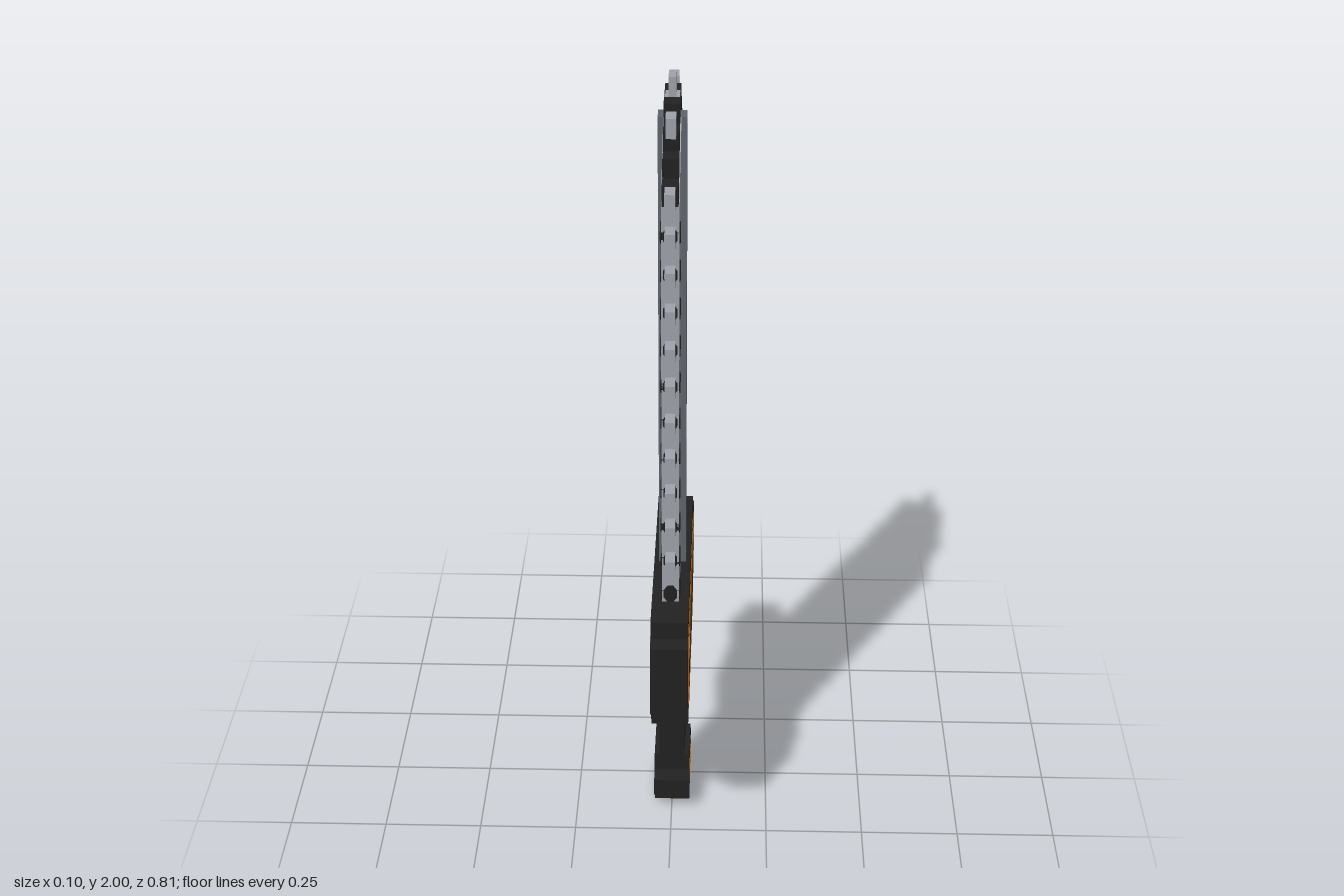
import * as THREE from 'three';

const U = 1 / 21; // one grid cell

const mat = (name, color) => {
  const m = new THREE.MeshStandardMaterial({ color });
  m.name = name;
  return m;
};

export function createModel() {
  const model = new THREE.Group();
  model.name = 'sawSword';
  const black = mat('black', 0x222222);
  const steel = mat('light steel', 0xa0a3ab);
  const darkSteel = mat('dark steel', 0x60656d);
  const orange = mat('orange', 0xc06b10);
  const darkOrange = mat('dark orange', 0x9c4e12);
  const gold = mat('gold', 0xc4953c);

  const group = (name) => {
    const g = new THREE.Group();
    g.name = name;
    model.add(g);
    return g;
  };
  const add = (parent, name, geometry, material) => {
    const m = new THREE.Mesh(geometry, material);
    m.name = name;
    parent.add(m);
    return m;
  };
  // Box between grid positions z0..z1 and y0..y1, with half width hx in units
  const box = (parent, name, material, z0, z1, y0, y1, hx) => {
    const m = add(parent, name, new THREE.BoxGeometry(hx * 2, (y1 - y0) * U, (z1 - z0) * U), material);
    m.position.set(0, ((y0 + y1) / 2) * U, ((z0 + z1) / 2) * U);
    return m;
  };
  // Side outline of [z, y] grid points, extruded across x
  const slab = (parent, name, material, points, hx) => {
    const shape = new THREE.Shape(points.map(([z, y]) => new THREE.Vector2(z * U, y * U)));
    const g = new THREE.ExtrudeGeometry(shape, { depth: hx * 2, bevelEnabled: false });
    g.translate(0, 0, -hx).rotateY(-Math.PI / 2);
    return add(parent, name, g, material);
  };
  // Rectangle with cut corners
  const cutBox = (parent, name, material, z0, z1, y0, y1, hx, c = 0.3) =>
    slab(parent, name, material, [
      [z0 + c, y0], [z1 - c, y0], [z1, y0 + c], [z1, y1 - c],
      [z1 - c, y1], [z0 + c, y1], [z0, y1 - c], [z0, y0 + c],
    ], hx);

  // Blade: light front half, dark back half, raised centre ridge
  const blade = group('blade');
  slab(blade, 'frontBlade', steel,
    [[1.5, 15], [5.5, 15], [5.5, 37], [4.5, 37], [4.5, 37.8], [1.5, 40]], 0.021);
  slab(blade, 'backBlade', darkSteel,
    [[-2.5, 15], [0.5, 15], [0.5, 40], [-2.5, 37.6]], 0.021);
  box(blade, 'ridge', darkSteel, 0.5, 1.5, 15, 40, 0.034);

  // Chain: stepped links round the tip, mirrored about z = 1
  const chain = group('chain');
  const teeth = group('teeth');
  for (let i = 0; i < 4; i++) {
    box(chain, 'tipLink', black, 1.5 + i, 2.5 + i, 40 - i, 41 - i, 0.019);
    box(chain, 'tipLink', black, -0.5 - i, 0.5 - i, 40 - i, 41 - i, 0.019);
  }
  box(teeth, 'tipToothBase', steel, 0.5, 1.5, 40, 41, 0.017);
  box(teeth, 'tipTooth', steel, 0.5, 1.5, 41, 42, 0.009);
  box(teeth, 'shoulderTooth', steel, 3.5, 4.5, 40, 41, 0.012);
  box(teeth, 'shoulderTooth', steel, -2.5, -1.5, 40, 41, 0.012);

  // Chain: teeth and links down both edges
  for (let i = 0; i < 12; i++) {
    const y = 37 - 2 * i;
    if (i < 11) {
      box(teeth, 'frontTooth', steel, 5.5, 6.5, y, y + 1, 0.012);
      box(teeth, 'backTooth', steel, -4.5, -2.5, y - 1, y, 0.012);
    }
    if (i > 0) {
      box(chain, 'backLink', black, -3.5, -2.5, y, y + 1, 0.019);
      cutBox(chain, 'frontLink', black, 4.5, 5.5, y, y + 1, 0.0235);
      const rim = add(chain, 'frontLinkRim', new THREE.CylinderGeometry(0.5 * U, 0.5 * U, 0.006, 8), black);
      rim.geometry.rotateY(Math.PI / 8).rotateX(Math.PI / 2).scale(0.75, 1.05, 1);
      rim.position.set(0, (y + 0.5) * U, 5.5 * U);
    }
  }

  // Guard housing
  const guard = group('guard');
  const W = 0.046;
  box(guard, 'housing', black, -5.5, 7.5, 9, 15, W);
  box(guard, 'housingBase', black, -4.5, 6.5, 8, 9, W);
  box(guard, 'frontCap', black, 7.5, 8.5, 10, 14, W);
  box(guard, 'backBlock', black, -8.5, -5.5, 10, 13, W);
  box(guard, 'backStep', black, -6.5, -5.5, 13, 14, W);

  // Painted panels, dots and slot showing on both sides of the guard
  box(guard, 'panel', orange, -5.5, 7.5, 10, 14, W + 0.001);
  slab(guard, 'panelShade', darkOrange,
    [[-4.5, 9], [6.5, 9], [6.5, 9.7], [7.1, 10.4], [-5.1, 10.4], [-4.5, 9.7]], W + 0.0018);
  cutBox(guard, 'frontHighlight', gold, 4.5, 6.5, 11.9, 13, W + 0.002);
  cutBox(guard, 'backHighlight', gold, -5.5, -4.5, 13, 14, W + 0.002, 0.2);
  for (let z = -4; z <= 6; z += 2) {
    cutBox(guard, 'rivet', black, z - 0.5, z + 0.5, 11, 12, W + 0.003);
  }
  cutBox(guard, 'slot', darkSteel, -7.5, -5.5, 11, 12, W + 0.002);

  // Grip and pommel
  const handle = group('handle');
  box(handle, 'grip', black, -0.5, 2.5, 3, 8, 0.033);
  box(handle, 'pommel', black, -0.5, 2.5, 0, 3, W);
  box(handle, 'pommelFlange', black, -1.5, 3.5, 1, 2, W);
  box(handle, 'pommelBand', orange, -0.5, 2.5, 1, 2, W + 0.001);
  box(handle, 'pommelHighlight', gold, 0.5, 1.5, 1, 2, W + 0.002);

  return model;
}
